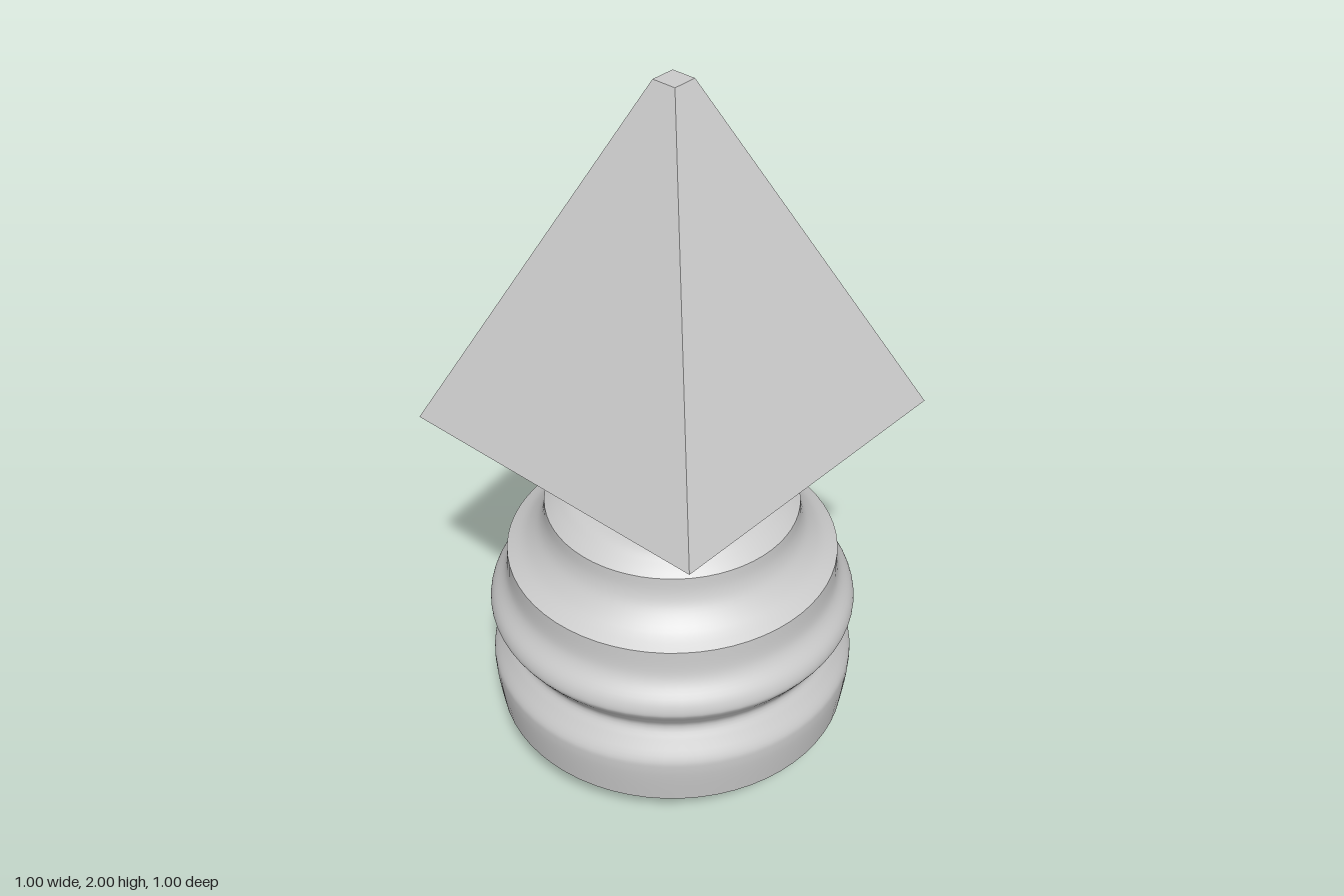
import * as THREE from 'three';

const material = new THREE.MeshStandardMaterial({ color: 0xcccccc });

// Revolves a smooth curve through [radius, height] points, listed bottom to top.
function turned(name, points, steps = 1) {
  const path = points.map(([r, y]) => new THREE.Vector2(r, y));
  const profile = steps > 1 ? new THREE.SplineCurve(path).getPoints(steps * (points.length - 1)) : path;
  const mesh = new THREE.Mesh(new THREE.LatheGeometry(profile, 64), material);
  mesh.name = name;
  return mesh;
}

export function createModel() {
  const model = new THREE.Group();
  model.name = 'pyramidOnTurnedBase';

  // Turned base, split where its profile has a sharp edge
  const base = new THREE.Group();
  base.name = 'turnedBase';
  base.add(
    turned('baseUnderside', [[0, 0], [0.165, 0]]),
    turned('flaredFoot', [[0.165, 0], [0.18, 0.008], [0.22, 0.032], [0.28, 0.085], [0.35, 0.122], [0.43, 0.147], [0.485, 0.165]], 3),
    turned('lowerBand', [[0.485, 0.165], [0.495, 0.24], [0.499, 0.29], [0.495, 0.32], [0.468, 0.365], [0.45, 0.4],
      [0.468, 0.435], [0.492, 0.47], [0.499, 0.49], [0.49, 0.52], [0.462, 0.56], [0.45, 0.595], [0.446, 0.655]], 4),
    turned('middleBand', [[0.446, 0.655], [0.4, 0.683], [0.362, 0.725], [0.345, 0.765], [0.34, 0.808]], 4),
    turned('shoulder', [[0.34, 0.808], [0.31, 0.83], [0.27, 0.852], [0.19, 0.865]], 4),
    turned('neck', [[0.19, 0.865], [0.175, 0.93]]),
    turned('neckTop', [[0.175, 0.93], [0.055, 0.93]]),
    turned('spike', [[0.057, 0.93], [0.034, 1.0], [0.018, 1.05], [0, 1.088]], 3),
  );
  model.add(base);

  // Square pyramid with a cut-off tip, balanced on the spike
  const geometry = new THREE.CylinderGeometry(0.034 * Math.SQRT2, 0.458 * Math.SQRT2, 0.914, 4, 1);
  geometry.rotateY(Math.PI / 4);
  const flat = geometry.toNonIndexed();
  flat.computeVertexNormals();
  const pyramid = new THREE.Mesh(flat, material);
  pyramid.name = 'pyramid';
  pyramid.position.set(0, 1.543, -0.005);
  model.add(pyramid);

  return model;
}
